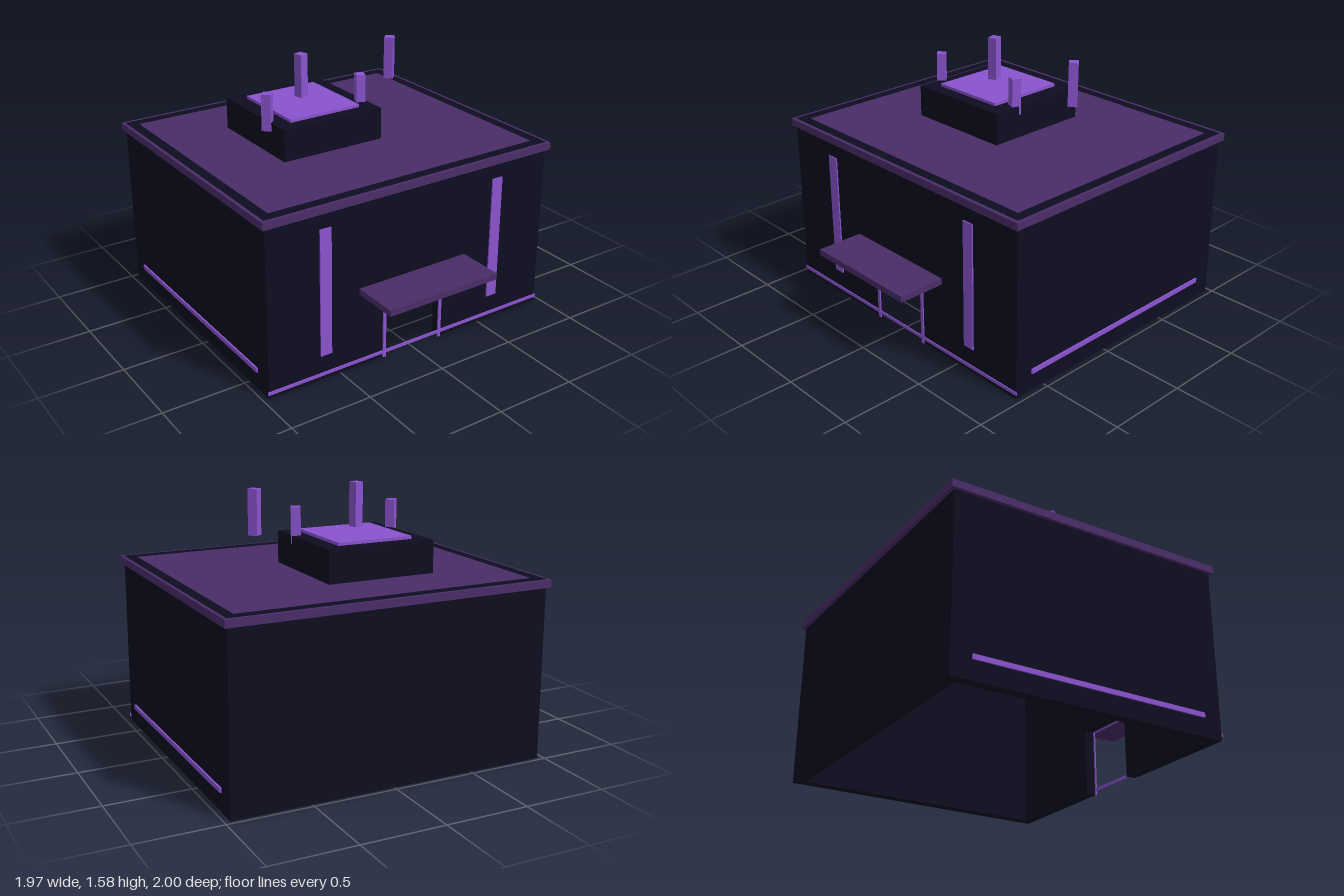
import * as THREE from 'three';

const material = (name, color) => {
  const m = new THREE.MeshStandardMaterial({ color });
  m.name = name;
  return m;
};

export function createModel() {
  const dark = material('midnight wall', 0x0d0d20);
  const purple = material('deep purple', 0x4a2d69);
  const bright = material('bright violet', 0x8a53cf);
  const model = new THREE.Group();
  model.name = 'building';

  // Box given by its limits on each axis
  const box = (name, mat, [x0, x1], [y0, y1], [z0, z1]) => {
    const mesh = new THREE.Mesh(new THREE.BoxGeometry(x1 - x0, y1 - y0, z1 - z0), mat);
    mesh.position.set((x0 + x1) / 2, (y0 + y1) / 2, (z0 + z1) / 2);
    mesh.name = name;
    model.add(mesh);
    return mesh;
  };

  const W = 0.965, back = -0.975, front = 0.71, T = 0.06, wallTop = 1.03, roofTop = 1.072;

  // Hollow walls, open underneath, with a doorway in the front
  box('backWall', dark, [-W, W], [0, wallTop], [back, back + T]);
  for (const s of [-1, 1]) {
    const x = s < 0 ? [-W, -W + T] : [W - T, W];
    box('sideWall', dark, x, [0, wallTop], [back + T, front - T]);
  }
  const facade = new THREE.Shape([
    [-W, 0], [-0.2, 0], [-0.2, 0.415], [0.2, 0.415], [0.2, 0], [W, 0], [W, wallTop], [-W, wallTop],
  ].map(([x, y]) => new THREE.Vector2(x, y)));
  const frontWall = new THREE.Mesh(
    new THREE.ExtrudeGeometry(facade, { depth: T, bevelEnabled: false }), dark);
  frontWall.position.z = front - T;
  frontWall.name = 'frontWall';
  model.add(frontWall);

  // Overhanging roof slab with a dark band above the wall lines
  box('roofSlab', purple, [-0.985, 0.985], [wallTop - 0.003, roofTop], [-0.998, 0.733]);
  const bandY = [roofTop - 0.002, roofTop + 0.002];
  box('roofBand', dark, [-W, W], bandY, [back, back + T]);
  box('roofBand', dark, [-W, W], bandY, [front - T, front]);
  box('roofBand', dark, [-W, -W + T], bandY, [back + T, front - T]);
  box('roofBand', dark, [W - T, W], bandY, [back + T, front - T]);

  // Rooftop block and its glowing panel
  box('roofBlock', dark, [-0.48, 0.19], [roofTop, 1.265], [-0.555, 0.117]);
  box('roofPanel', bright, [-0.385, 0.09], [1.265, 1.283], [-0.47, 0.033]);

  // Floating posts, each turned about its own axis: x, z, base, height, degrees
  for (const [x, z, y, h, turn] of [
    [-0.483, -0.06, 1.215, 0.22, 45],
    [0.158, -0.06, 1.215, 0.22, -20],
    [0.48, -0.205, 1.315, 0.262, 42],
    [-0.163, -0.205, 1.315, 0.262, 15],
  ]) {
    const post = box('floatingPost', bright,
      [x - 0.028, x + 0.028], [y, y + h], [z - 0.028, z + 0.028]);
    post.rotation.y = THREE.MathUtils.degToRad(turn);
  }

  // Canopy over the door
  box('canopy', purple, [-0.373, 0.373], [0.46, 0.498], [front, 1]);

  // Door frame, front base strip, tall light panels and side strips
  const skin = [front, front + 0.008];
  box('doorFrameTop', bright, [-0.21, 0.21], [0.405, 0.425], skin);
  box('baseStrip', bright, [-0.972, 0.972], [0.025, 0.045], [front, front + 0.006]);
  for (const s of [-1, 1]) {
    const span = (a, b) => (s < 0 ? [-b, -a] : [a, b]);
    box('doorFramePost', bright, span(0.19, 0.21), [0, 0.405], skin);
    box('lightPanel', bright, span(0.56, 0.633), [0.155, 0.93], skin);
    box('sideStrip', bright, span(W, W + 0.01), [0.11, 0.138], [-0.855, 0.595]);
  }

  return model;
}
